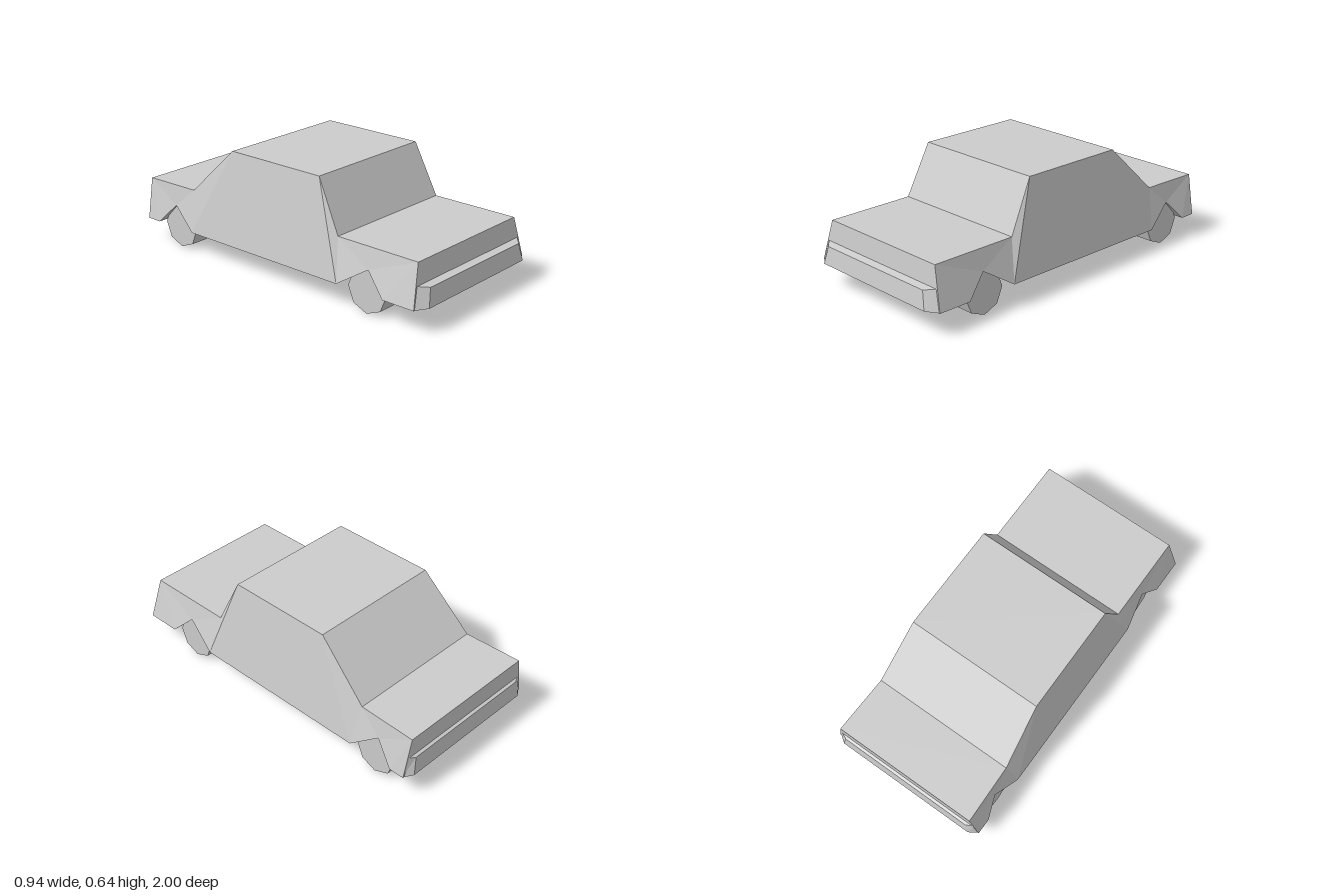
import * as THREE from 'three';

const material = new THREE.MeshStandardMaterial({ color: 0xcccccc, flatShading: true, side: THREE.DoubleSide });

// Side outline, clockwise from the front sill: [z, y, half width]
const outline = [
  [0.955, 0.13, 0.47],   // 0 front bottom
  [0.93, 0.36, 0.41],    // 1 hood front
  [0.42, 0.36, 0.41],    // 2 windscreen base
  [0.28, 0.645, 0.395],  // 3 roof front
  [-0.345, 0.645, 0.395],// 4 roof rear
  [-0.64, 0.36, 0.415],  // 5 trunk start
  [-0.98, 0.36, 0.425],  // 6 trunk end
  [-0.97, 0.13, 0.47],   // 7 rear bottom
  [-0.88, 0.13, 0.47],   // 8 rear arch
  [-0.77, 0.245, 0.435], // 9
  [-0.61, 0.13, 0.47],   // 10
  [0.46, 0.13, 0.47],    // 11 front arch
  [0.64, 0.245, 0.435],  // 12
  [0.76, 0.13, 0.47],    // 13
];
const sideFaces = [
  [0, 13, 1], [1, 13, 12], [1, 12, 2], [2, 12, 11], [2, 11, 3], [3, 11, 10],
  [3, 10, 4], [4, 10, 5], [5, 10, 9], [5, 9, 6], [6, 9, 8], [6, 8, 7],
];

const point = (i, side) => [side * outline[i][2], outline[i][1], outline[i][0]];

function meshFromTriangles(name, triangles) {
  const geometry = new THREE.BufferGeometry();
  geometry.setAttribute('position', new THREE.Float32BufferAttribute(triangles.flat(2), 3));
  geometry.computeVertexNormals();
  return named(name, geometry);
}

function named(name, geometry) {
  const mesh = new THREE.Mesh(geometry, material);
  mesh.name = name;
  return mesh;
}

const quad = (a, b, c, d) => [[a, b, c], [a, c, d]];

// Wheel arch liner: a triangular tunnel closed at its inner end
function archLiner(ids, side) {
  const outer = ids.map((i) => point(i, side));
  const inner = outer.map(([, y, z]) => [side * 0.26, y, z]);
  const triangles = [
    ...quad(outer[0], outer[1], inner[1], inner[0]),
    ...quad(outer[1], outer[2], inner[2], inner[1]),
    [inner[0], inner[1], inner[2]],
  ];
  return meshFromTriangles('wheelArch', side > 0 ? triangles : triangles.map((t) => [...t].reverse()));
}

// Bumper: a box tapered to chamfered corners and a sloping face
function bumper(name, end, rows) {
  const geometry = new THREE.BoxGeometry(1, 1, 1);
  const p = geometry.attributes.position;
  for (let i = 0; i < p.count; i++) {
    const outward = p.getZ(i) * end > 0;
    const [x, y, z] = rows[(outward ? 2 : 0) + (p.getY(i) > 0 ? 1 : 0)];
    p.setXYZ(i, Math.sign(p.getX(i)) * x, y, z * end);
  }
  geometry.computeVertexNormals();
  return named(name, geometry);
}

export function createModel() {
  const car = new THREE.Group();
  car.name = 'car';

  // Panels running across the car, front to rear
  const panels = ['frontPanel', 'hood', 'windscreen', 'roof', 'rearWindow', 'trunkLid', 'rearPanel'];
  panels.forEach((name, i) => {
    car.add(meshFromTriangles(name, quad(point(i, -1), point(i, 1), point(i + 1, 1), point(i + 1, -1))));
  });

  // Bumpers: inner bottom, inner top, outer bottom, outer top as [half width, y, z]
  car.add(bumper('frontBumper', 1, [
    [0.47, 0.13, 0.95], [0.44, 0.245, 0.935], [0.405, 0.135, 1.0], [0.38, 0.235, 0.985],
  ]));
  car.add(bumper('rearBumper', -1, [
    [0.47, 0.13, 0.965], [0.445, 0.245, 0.97], [0.42, 0.135, 1.0], [0.4, 0.235, 0.99],
  ]));

  // Sides, arch liners and octagonal wheels
  const wheelGeometry = new THREE.CylinderGeometry(0.123, 0.123, 0.11, 8).rotateZ(Math.PI / 2);
  for (const side of [1, -1]) {
    car.add(meshFromTriangles(side > 0 ? 'leftSide' : 'rightSide', sideFaces.map((face) => {
      const corners = face.map((i) => point(i, side));
      return side > 0 ? corners : corners.reverse();
    })));
    car.add(archLiner([13, 12, 11], side), archLiner([10, 9, 8], side));
    for (const [name, z] of [['frontWheel', 0.625], ['rearWheel', -0.745]]) {
      const wheel = named(name, wheelGeometry);
      wheel.position.set(side * 0.37, 0.123, z);
      car.add(wheel);
    }
  }
  return car;
}
